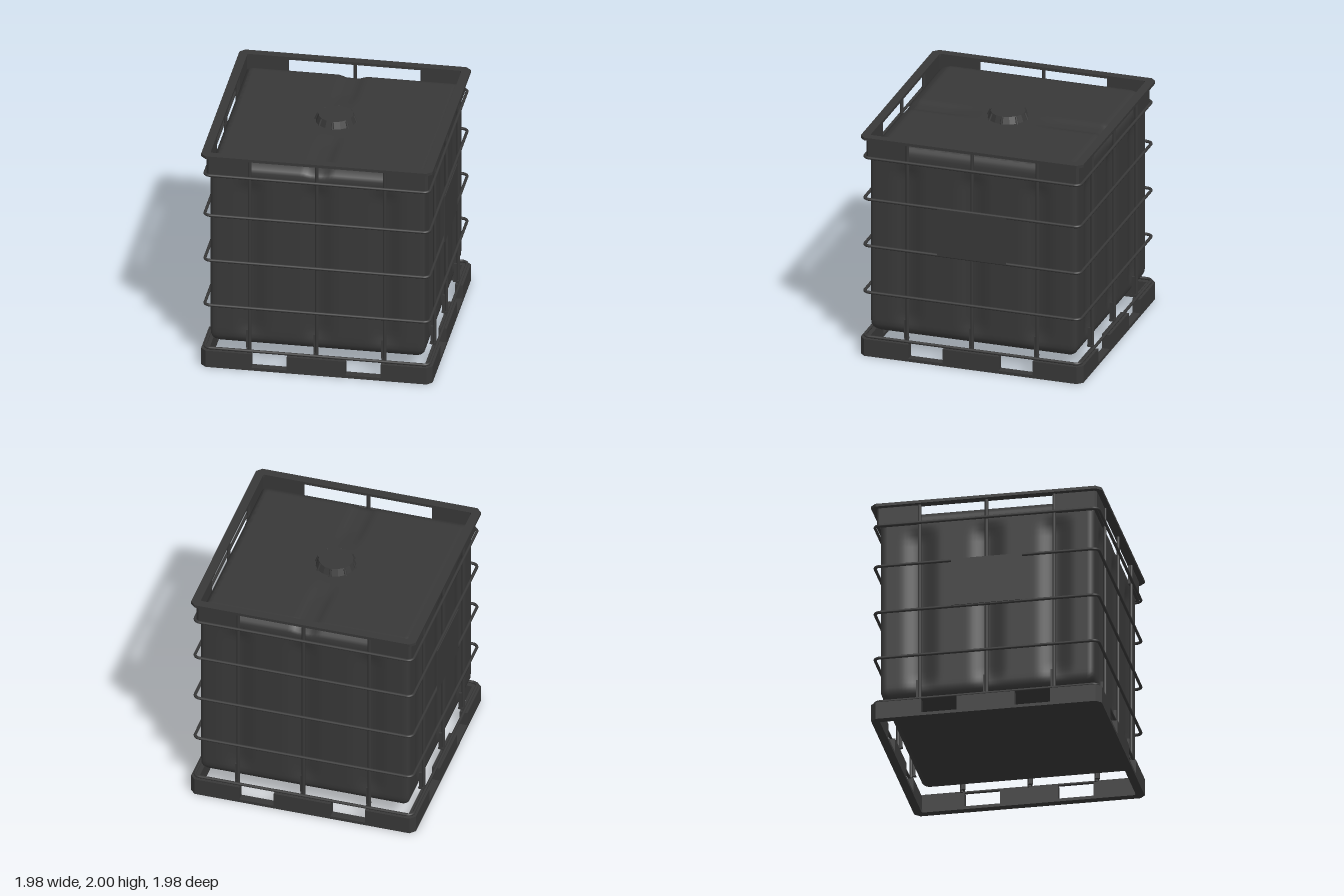
import * as THREE from 'three';
import { toCreasedNormals } from 'three/addons/utils/BufferGeometryUtils.js';

const material = new THREE.MeshStandardMaterial({ color: 0x383838 });
const BARS = [-0.575, 0, 0.58];

function add(parent, name, geometry, x = 0, y = 0, z = 0) {
  const mesh = new THREE.Mesh(geometry, material);
  mesh.name = name;
  mesh.position.set(x, y, z);
  parent.add(mesh);
  return mesh;
}

const box = (w, h, d) => new THREE.BoxGeometry(w, h, d);

// Extrude a floor-plan shape upwards
function slab(shape, height) {
  return new THREE.ExtrudeGeometry(shape, { depth: height, bevelEnabled: false }).rotateX(-Math.PI / 2);
}

// Square with cut corners
function cutSquare(h, c, Type = THREE.Shape) {
  const s = new Type();
  s.setFromPoints([[h, c - h], [h, h - c], [h - c, h], [c - h, h], [-h, h - c], [-h, c - h], [c - h, -h], [h - c, -h]]
    .map(([x, y]) => new THREE.Vector2(x, y)));
  return s;
}

function frame(outer, inner, cut, height) {
  const s = cutSquare(outer, cut);
  s.holes.push(cutSquare(inner, 0.01, THREE.Path));
  return slab(s, height);
}

// L-shaped corner wall with a cut outer corner
function corner(outer, inner, start, cut, height) {
  const s = new THREE.Shape([[start, outer], [start, inner], [inner, inner], [inner, start], [outer, start],
    [outer, outer - cut], [outer - cut, outer]].map(([x, y]) => new THREE.Vector2(x, y)));
  return slab(s, height);
}

// Tank: box bent by a rule into rounded corners and base, soft shoulders, fluted sides and a shallow top channel
function tankGeometry() {
  const H = 0.918, Y0 = 0.195, Y1 = 1.92, R = 0.1, CORNER = 0.032;
  const step = THREE.MathUtils.smoothstep;
  const clamp = (v) => THREE.MathUtils.clamp(v, CORNER - H, H - CORNER);
  const dip = (d, w) => (Math.abs(d) < w ? Math.cos((d / w) * Math.PI / 2) ** 2 : 0);
  const g = new THREE.BoxGeometry(2, 2, 2, 60, 36, 60);
  const p = g.attributes.position;
  for (let i = 0; i < p.count; i++) {
    let x = p.getX(i) * H, z = p.getZ(i) * H;
    let y = Y0 + (Y1 - Y0) * (Math.sin(p.getY(i) * Math.PI / 2) + 1) / 2;
    // Upright corners: square offset pulled onto a circle
    const dx = x - clamp(x), dz = z - clamp(z);
    if (dx && dz) {
      const k = Math.max(Math.abs(dx), Math.abs(dz)) / Math.hypot(dx, dz);
      x = clamp(x) + dx * k;
      z = clamp(z) + dz * k;
    }
    const low = Math.max(0, R - (y - Y0));
    const base = R - Math.sqrt(Math.max(0, R * R - low * low));
    const top = Math.max(0, (y - 1.84) / 0.08) ** 2;
    const fade = step(y, 0.24, 0.4) * (1 - step(y, 1.66, 1.8));
    const flute = (t) => 0.03 * fade * BARS.reduce((sum, b) => sum + dip(t - b, 0.17), 0);
    const nx = x * (H - base - 0.045 * top - flute(z)) / H;
    const nz = z * (H - base - 0.1 * top - flute(x)) / H;
    y -= 0.022 * (1 - step(Math.abs(x), 0.05, 0.13)) * step(Math.abs(z), 0.2, 0.6) * step(y, 1.75, Y1);
    p.setXYZ(i, nx, y, nz);
  }
  return toCreasedNormals(g, 0.8);
}

export function createModel() {
  const model = new THREE.Group();
  add(model, 'tank', tankGeometry());

  // Filler cap with grip ribs
  const cap = new THREE.Group();
  cap.name = 'fillerCap';
  model.add(cap);
  add(cap, 'capBody', toCreasedNormals(new THREE.CylinderGeometry(0.148, 0.178, 0.075, 16), 0.3), 0, 1.9425, 0);
  for (let i = 0; i < 8; i++) {
    const a = i * Math.PI / 4;
    const rib = add(cap, 'capRib', new THREE.CylinderGeometry(0.01, 0.012, 0.075, 6),
      Math.sin(a) * 0.165, 1.94, Math.cos(a) * 0.165);
    rib.rotation.set(-0.38, a, 0, 'YXZ');
  }

  // Top rim and pallet base frame
  add(model, 'topRim', frame(0.99, 0.915, 0.045, 0.025), 0, 1.975, 0);
  add(model, 'palletFrame', frame(0.99, 0.92, 0.045, 0.027));

  // Everything that repeats on each of the four sides
  const ringY = [0.17, 0.576, 1.001, 1.428, 1.807];
  const ringAt = 0.962, bend = 0.05, wire = 0.013;
  const straight = new THREE.CylinderGeometry(wire, wire, 2 * (ringAt - bend), 10, 1, true).rotateZ(Math.PI / 2);
  const elbow = new THREE.TorusGeometry(bend, wire, 10, 8, Math.PI / 2).rotateX(Math.PI / 2);
  const post = new THREE.CylinderGeometry(0.015, 0.015, 1.815, 10);
  const cornerPlate = corner(0.946, 0.92, 0.57, 0.02, 0.168);
  const palletCorner = corner(0.99, 0.92, 0.553, 0.045, 0.127);
  for (let i = 0; i < 4; i++) {
    const side = new THREE.Group();
    side.name = 'cageSide';
    side.rotation.y = i * Math.PI / 2;
    model.add(side);

    for (const y of ringY) {
      add(side, 'cageRail', straight, 0, y, ringAt);
      add(side, 'cageRailCorner', elbow, ringAt - bend, y, ringAt - bend);
    }
    for (const x of BARS) {
      add(side, 'cagePost', post, x, 1.0725, 0.945);
      add(side, 'postBracket', box(0.02, 0.17, 0.022), x - 0.022, 0.27, 0.925);
      add(side, 'postFoot', box(0.03, 0.014, 0.05), x - 0.01, 0.187, 0.93);
    }
    add(side, 'cornerPlate', cornerPlate, 0, 1.807, 0);
    add(side, 'palletCorner', palletCorner, 0, 0.027, 0);
    add(side, 'palletMiddle', box(0.5, 0.127, 0.07), 0, 0.0905, 0.955);
  }

  // Label plates on the left and right
  for (const s of [-1, 1]) add(model, 'labelPlate', box(0.008, 0.43, 0.61), s * 0.981, 1.218, -0.008 * s);
  return model;
}
